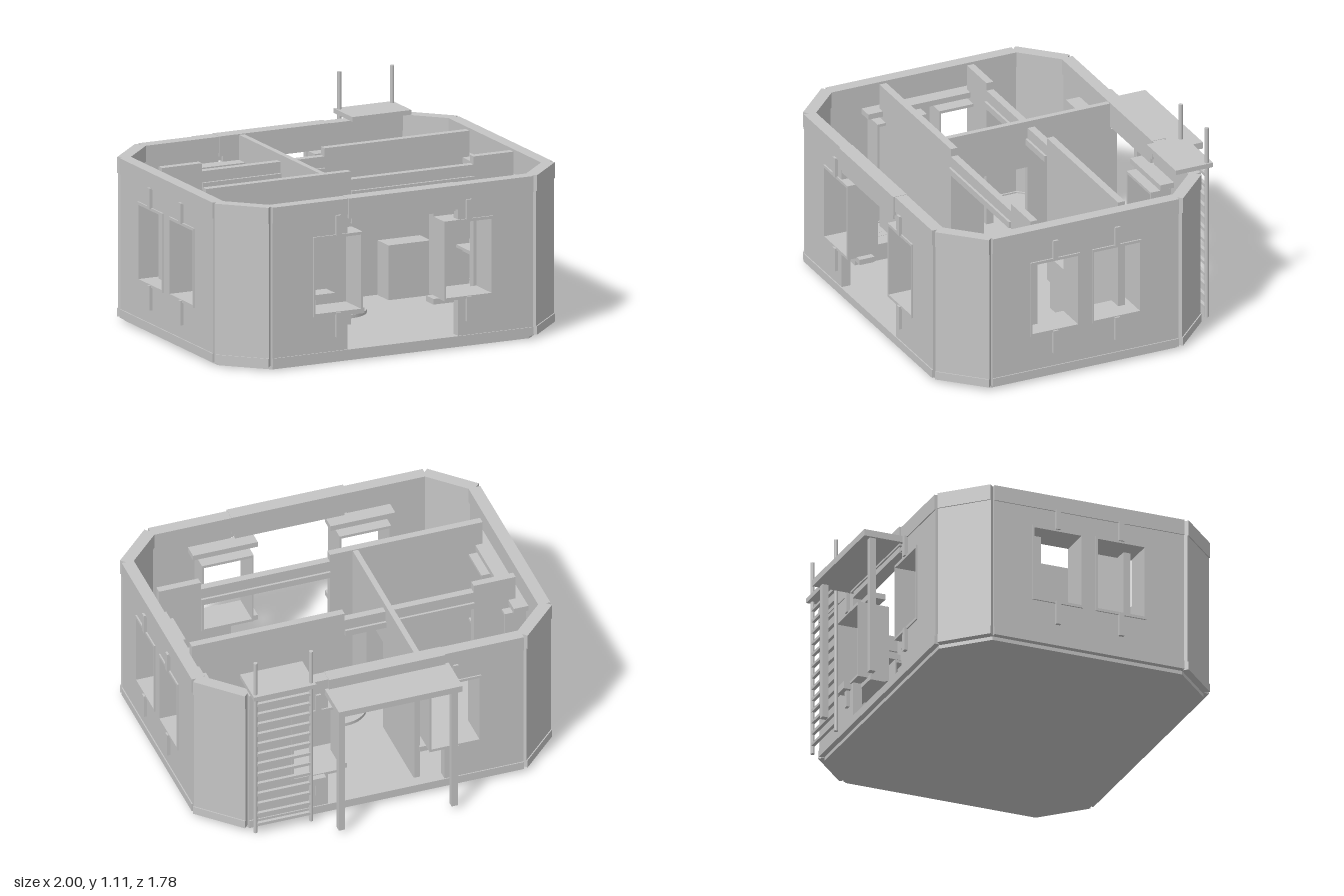
import * as THREE from 'three';

const grey = new THREE.MeshStandardMaterial({ color: 0xc4c4c4 });
grey.name = 'plain grey';

function add(parent, name, geo) {
  const m = new THREE.Mesh(geo, grey);
  m.name = name;
  parent.add(m);
  return m;
}
// box from its limits on each axis
function box(parent, name, x0, x1, y0, y1, z0, z1) {
  const m = add(parent, name, new THREE.BoxGeometry(x1 - x0, y1 - y0, z1 - z0));
  m.position.set((x0 + x1) / 2, (y0 + y1) / 2, (z0 + z1) / 2);
  return m;
}
function cyl(parent, name, r, h, x, y, z, n = 12) {
  const m = add(parent, name, new THREE.CylinderGeometry(r, r, h, n));
  m.position.set(x, y + h / 2, z);
  return m;
}
// upright panel in the xy plane with polygon holes, from z = -t to z = 0
function panel(parent, name, w, y0, y1, t, holes) {
  const v = (p) => p.map(([x, y]) => new THREE.Vector2(x, y));
  const s = new THREE.Shape(v([[-w, y0], [w, y0], [w, y1], [-w, y1]]));
  holes.forEach((h) => s.holes.push(new THREE.Path(v(h))));
  const g = new THREE.ExtrudeGeometry(s, { depth: t, bevelEnabled: false });
  g.translate(0, 0, -t);
  return add(parent, name, g);
}
// window with deep liner, inner shelves and outer rods; wall face at z = 0
function windowUnit(parent, cx) {
  const g = new THREE.Group();
  g.name = 'window';
  g.position.x = cx;
  parent.add(g);
  const w = 0.142, back = -0.167;
  for (const s of [-1, 1]) {
    const x = s * (w - 0.005);
    box(g, 'windowJamb', x - 0.005, x + 0.005, 0.27, 0.68, back, 0.008);
  }
  box(g, 'windowSill', -w, w, 0.26, 0.275, back, 0.008);
  box(g, 'windowHead', -w, w, 0.67, 0.685, back, 0.008);
  box(g, 'lowerShelf', -0.178, 0.178, 0.235, 0.265, -0.13, -0.045);
  box(g, 'upperShelf', -0.178, 0.178, 0.705, 0.735, -0.13, -0.045);
  box(g, 'lowerRod', -0.014, 0.014, 0.14, 0.27, -0.01, 0.018);
  box(g, 'upperRod', -0.014, 0.014, 0.68, 0.79, -0.01, 0.018);
}
// bottom and top rails of a wall section of half length w
function rails(g, w) {
  box(g, 'bottomRail', -w, w, 0.02, 0.065, -0.06, 0.006);
  box(g, 'topRail', -w, w, 0.785, 0.87, -0.06, 0.006);
}
function section(parent, name, x, z, angle) {
  const g = new THREE.Group();
  g.name = name;
  g.position.set(x, 0, z);
  g.rotation.y = angle;
  parent.add(g);
  return g;
}

export function createModel() {
  const model = new THREE.Group();
  model.name = 'house';
  const shell = new THREE.Group();
  shell.name = 'shell';
  shell.position.z = 0.1;
  model.add(shell);

  // eight-sided floor
  const oct = (a, b, c, d) => new THREE.Shape([[c, b], [a, d], [a, -d], [c, -b], [-c, -b], [-a, -d], [-a, d], [-c, b]]
    .map(([x, y]) => new THREE.Vector2(x, y)));
  const slab = (name, shape, y0, y1) => {
    const g = new THREE.ExtrudeGeometry(shape, { depth: y1 - y0, bevelEnabled: false });
    g.rotateX(-Math.PI / 2);
    g.translate(0, y0, 0);
    add(shell, name, g);
  };
  slab('base', oct(0.955, 0.745, 0.745, 0.535), 0, 0.025);
  slab('floor', oct(0.95, 0.74, 0.74, 0.53), 0.025, 0.058);

  // front and back walls: one opening that joins the door and both windows
  const half = [[0.32, 0.065], [0.32, 0.27], [0.52, 0.27], [0.52, 0.68], [0.32, 0.68], [0.32, 0.74]];
  const opening = [...half, ...half.map(([x, y]) => [-x, y]).reverse()];
  for (const s of [1, -1]) {
    const g = section(shell, s > 0 ? 'frontWall' : 'backWall', 0, s * 0.768, s > 0 ? 0 : Math.PI);
    panel(g, 'wallPanel', 0.755, 0.06, 0.79, 0.05, [opening]);
    rails(g, 0.755);
    box(g, 'doorHeader', -0.32, 0.32, 0.765, 0.872, -0.062, 0.016);
    box(g, 'doorLip', -0.3, 0.3, 0.735, 0.765, -0.062, 0.008);
    for (const x of [-0.378, 0.378]) windowUnit(g, x);
  }

  // side walls with two windows each
  for (const s of [1, -1]) {
    const g = section(shell, s > 0 ? 'leftWall' : 'rightWall', s * 0.98, 0, s * Math.PI / 2);
    const hole = (c) => [[c - 0.14, 0.275], [c + 0.14, 0.275], [c + 0.14, 0.68], [c - 0.14, 0.68]];
    panel(g, 'wallPanel', 0.535, 0.06, 0.79, 0.05, [hole(-0.178), hole(0.178)]);
    rails(g, 0.535);
    for (const x of [-0.178, 0.178]) windowUnit(g, x);
  }

  // slanted corner walls
  for (const sx of [1, -1]) for (const sz of [1, -1]) {
    const g = section(shell, 'cornerWall', sx * 0.878, sz * 0.659, Math.atan2(sx, sz));
    panel(g, 'wallPanel', 0.148, 0.06, 0.79, 0.05, []);
    rails(g, 0.148);
  }

  // two long partitions, each with a wide doorway and a thicker, lower lintel
  for (const s of [1, -1]) {
    const z = 0.1 + s * 0.252;
    const piece = (name, a, b, y0, y1, t) =>
      box(model, name, Math.min(s * a, s * b), Math.max(s * a, s * b), y0, y1, z - t, z + t);
    piece('longPartition', -0.89, -0.05, 0.058, 0.873, 0.02);
    piece('longPartition', 0.66, 0.89, 0.058, 0.873, 0.02);
    piece('partitionBeam', -0.05, 0.66, 0.74, 0.83, 0.02);
    piece('doorLintel', -0.05, 0.66, 0.735, 0.77, 0.033);
  }

  // cross partition with a doorway
  box(model, 'crossPartition', -0.205, -0.175, 0.058, 0.868, -0.61, -0.13);
  box(model, 'crossPartition', -0.205, -0.175, 0.605, 0.868, -0.13, 0.12);
  box(model, 'crossPartition', -0.205, -0.175, 0.058, 0.868, 0.12, 0.335);

  // round plinth with a post
  cyl(model, 'plinth', 0.16, 0.018, 0, 0.058, 0.1, 40);
  cyl(model, 'plinthPost', 0.035, 0.25, 0, 0.06, 0.1, 24);

  // cabinet, desk and screen
  box(model, 'cabinet', 0.355, 0.6, 0.058, 0.35, -0.125, 0);
  box(model, 'deskTop', -0.445, -0.195, 0.24, 0.265, 0.375, 0.475);
  for (const x of [-0.42, -0.3]) box(model, 'deskLeg', x, x + 0.08, 0.058, 0.24, 0.385, 0.465);
  box(model, 'screenStand', -0.38, -0.33, 0.265, 0.285, 0.39, 0.44);
  box(model, 'screen', -0.405, -0.31, 0.28, 0.345, 0.395, 0.415);

  // slatted benches in the front corners
  for (const s of [-1, 1]) {
    for (const [a, b] of [[0.53, 0.612], [0.614, 0.653], [0.655, 0.738]]) {
      box(model, 'bench', Math.min(s * a, s * b), Math.max(s * a, s * b), 0.058, 0.15, 0.465, 0.69);
    }
  }

  // back porch roof on posts
  box(model, 'porchRoof', -0.34, 0.34, 0.776, 0.812, -0.89, -0.66);
  for (const x of [-0.31, 0.31]) box(model, 'porchPost', x - 0.017, x + 0.017, 0.02, 0.776, -0.853, -0.819);

  // ladder with landing
  box(model, 'landing', 0.412, 0.755, 0.885, 0.91, -0.745, -0.53);
  for (const x of [0.431, 0.737]) cyl(model, 'ladderRail', 0.011, 1.09, x, 0.02, -0.717);
  for (let i = 0; i < 13; i++) {
    const y = 0.07 + i * 0.064;
    box(model, 'rung', 0.431, 0.737, y - 0.008, y + 0.008, -0.726, -0.708);
  }
  box(model, 'ladderBracket', 0.345, 0.43, 0.23, 0.27, -0.71, -0.66);
  return model;
}
